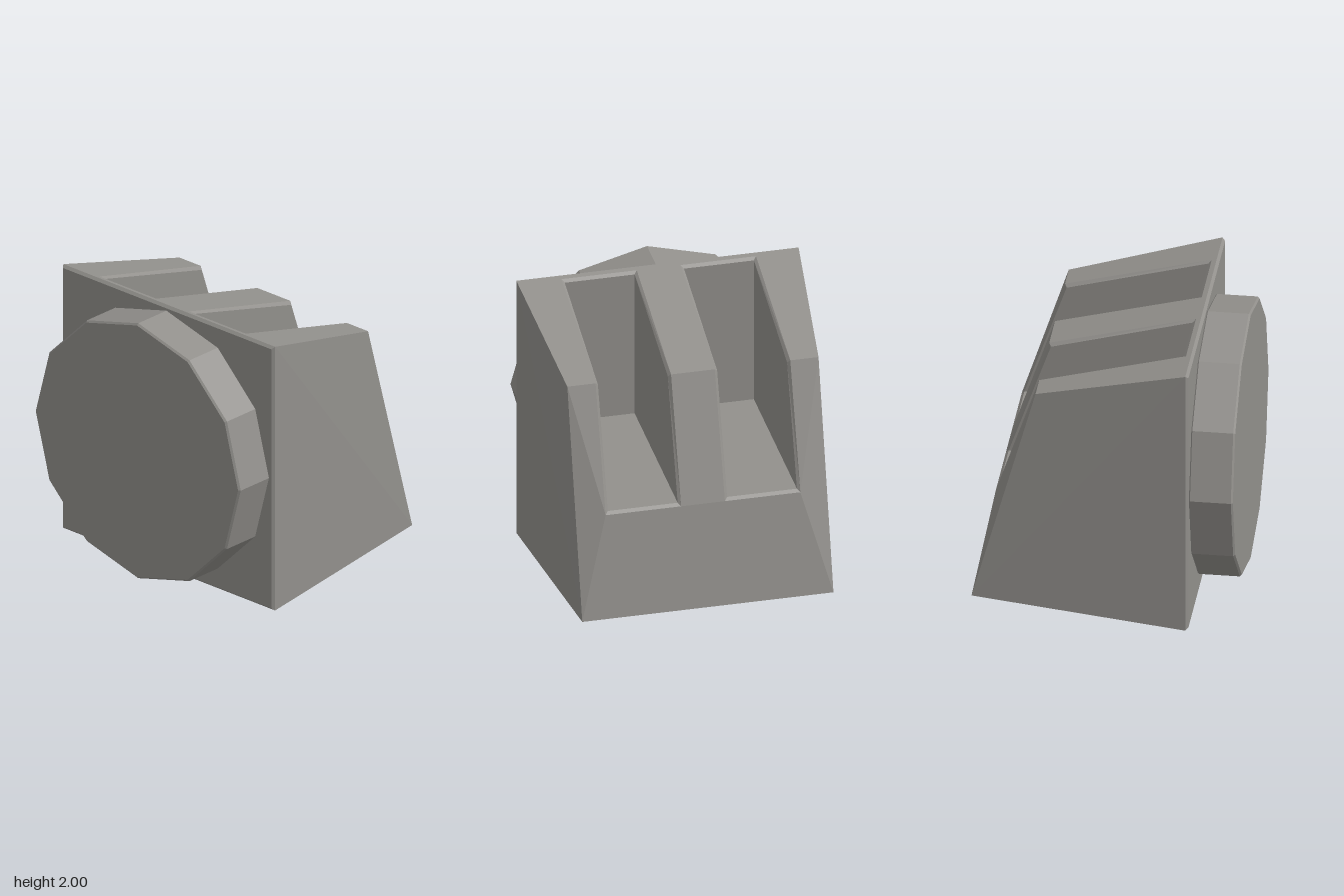
import * as THREE from 'three';

const grey = new THREE.MeshStandardMaterial({ color: 0x92908c });
grey.name = 'warm grey';

// Collects flat convex faces; each is wound to look along its given outward direction.
function faceBuilder() {
  const pos = [];
  return {
    face(dir, ...corners) {
      let p = corners.map((c) => new THREE.Vector3(...c));
      const normal = p[1].clone().sub(p[0]).cross(p[2].clone().sub(p[0]));
      if (normal.dot(new THREE.Vector3(...dir)) < 0) p.reverse();
      for (let i = 1; i < p.length - 1; i++)
        for (const v of [p[0], p[i], p[i + 1]]) pos.push(v.x, v.y, v.z);
    },
    mesh(name) {
      const g = new THREE.BufferGeometry();
      g.setAttribute('position', new THREE.Float32BufferAttribute(pos, 3));
      g.computeVertexNormals();
      const m = new THREE.Mesh(g, grey);
      m.name = name;
      return m;
    },
  };
}

// Main dimensions
const BACK = -0.59, SLOT_BACK = -0.555, RIM = 0.02;
const TOP = [0.465, 1.73], LIP = [0.765, 0.85], TOE = [0.91, 0.11];
const HALF = 0.89, Z_IN = 0.155, Z_OUT = 0.69;
const UP = [0, 1, 0], OUT = [1, 0.2, 0];
const along = (x) => (x - BACK) / (TOP[0] - BACK);
const topY = (x) => 2 - along(x) * (2 - TOP[1]);
const halfWidth = (x) => 1 - along(x) * (1 - HALF);

function wedgeBody() {
  const b = faceBuilder();
  const yb = topY(SLOT_BACK), wb = halfWidth(SLOT_BACK);

  // Underside, rear strip of the top, lower front
  b.face([0, -1, 0], [BACK, 0, 1], [BACK, 0, -1], [...TOE, -HALF], [...TOE, HALF]);
  b.face(UP, [BACK, 2, 1], [BACK, 2, -1], [SLOT_BACK, yb, -wb], [SLOT_BACK, yb, wb]);
  b.face(OUT, [...LIP, Z_OUT], [...LIP, -Z_OUT], [...TOE, -HALF], [...TOE, HALF]);

  // Middle fin
  b.face(UP, [SLOT_BACK, yb, Z_IN], [SLOT_BACK, yb, -Z_IN], [...TOP, -Z_IN], [...TOP, Z_IN]);
  b.face(OUT, [...TOP, Z_IN], [...TOP, -Z_IN], [...LIP, -Z_IN], [...LIP, Z_IN]);

  for (const s of [1, -1]) {
    // Outer fins
    b.face(UP, [SLOT_BACK, yb, s * Z_OUT], [SLOT_BACK, yb, s * wb], [...TOP, s * HALF], [...TOP, s * Z_OUT]);
    b.face(OUT, [...TOP, s * HALF], [...TOP, s * Z_OUT], [...LIP, s * Z_OUT]);
    b.face(OUT, [...TOP, s * HALF], [...LIP, s * Z_OUT], [...TOE, s * HALF]);
    // Tapered sides
    b.face([0, 0, s], [BACK, 0, s], [BACK, 2, s], [...TOE, s * HALF]);
    b.face([0, 0, s], [BACK, 2, s], [...TOP, s * HALF], [...TOE, s * HALF]);
  }

  // Back plate with a narrow chamfer around it
  const ring = (x, r) => [[1, 1], [1, -1], [-1, -1], [-1, 1]].map(([y, z]) => [x, 1 + y * r, z * r]);
  const outer = ring(BACK, 1), inner = ring(-0.61, 0.982);
  b.face([-1, 0, 0], ...inner);
  for (let i = 0; i < 4; i++) {
    const j = (i + 1) % 4;
    b.face([-1, 0, 0], outer[i], outer[j], inner[j], inner[i]);
  }
  return b.mesh('wedgeBody');
}

// Recessed slot: chamfered rim, two walls, back wall and floor
function slot(s, name) {
  const b = faceBuilder();
  const edge = (z, d) => [
    [LIP[0] - d, LIP[1] + d, z],
    [TOP[0] - d * 0.7, TOP[1] - d, z],
    [SLOT_BACK + d, topY(SLOT_BACK) - d, z],
  ];
  const z1 = s * Z_IN, z2 = s * Z_OUT, dz = s * RIM;
  const outer = [...edge(z1, 0), ...edge(z2, 0).reverse()];
  const inner = [...edge(z1 + dz, RIM), ...edge(z2 - dz, RIM).reverse()];
  const rimDirs = [[1, 0, s], [0, 1, s], [1, 1, 0], [0, 1, -s], [1, 0, -s], [1, 1, 0]];
  for (let i = 0; i < 6; i++) {
    const j = (i + 1) % 6;
    b.face(rimDirs[i], outer[i], outer[j], inner[j], inner[i]);
  }
  const low = [SLOT_BACK + RIM, LIP[1] + RIM];
  const f1 = [...low, z1 + dz], f2 = [...low, z2 - dz];
  b.face([0, 0, s], inner[0], inner[1], inner[2], f1);
  b.face([0, 0, -s], inner[5], inner[4], inner[3], f2);
  b.face([1, 0, 0], inner[2], inner[3], f2, f1);
  b.face(UP, inner[0], f1, f2, inner[5]);
  return b.mesh(name);
}

// Twelve-sided disc with chamfered rims, axis along x
function backDisc() {
  const R = 0.967, c = 0.013, h = 0.31;
  const profile = [[0, 0], [R - c, 0], [R, c], [R, h - c], [R - c, h], [0, h]]
    .map(([r, y]) => new THREE.Vector2(r, y));
  const g = new THREE.LatheGeometry(profile, 12).toNonIndexed();
  g.computeVertexNormals();
  const m = new THREE.Mesh(g, grey);
  m.name = 'backDisc';
  m.rotation.z = -Math.PI / 2;
  m.position.set(-0.915, 1.003, 0);
  return m;
}

export function createModel() {
  const model = new THREE.Group();
  model.name = 'slottedWedge';
  model.add(wedgeBody(), slot(1, 'frontSlot'), slot(-1, 'rearSlot'), backDisc());
  return model;
}
